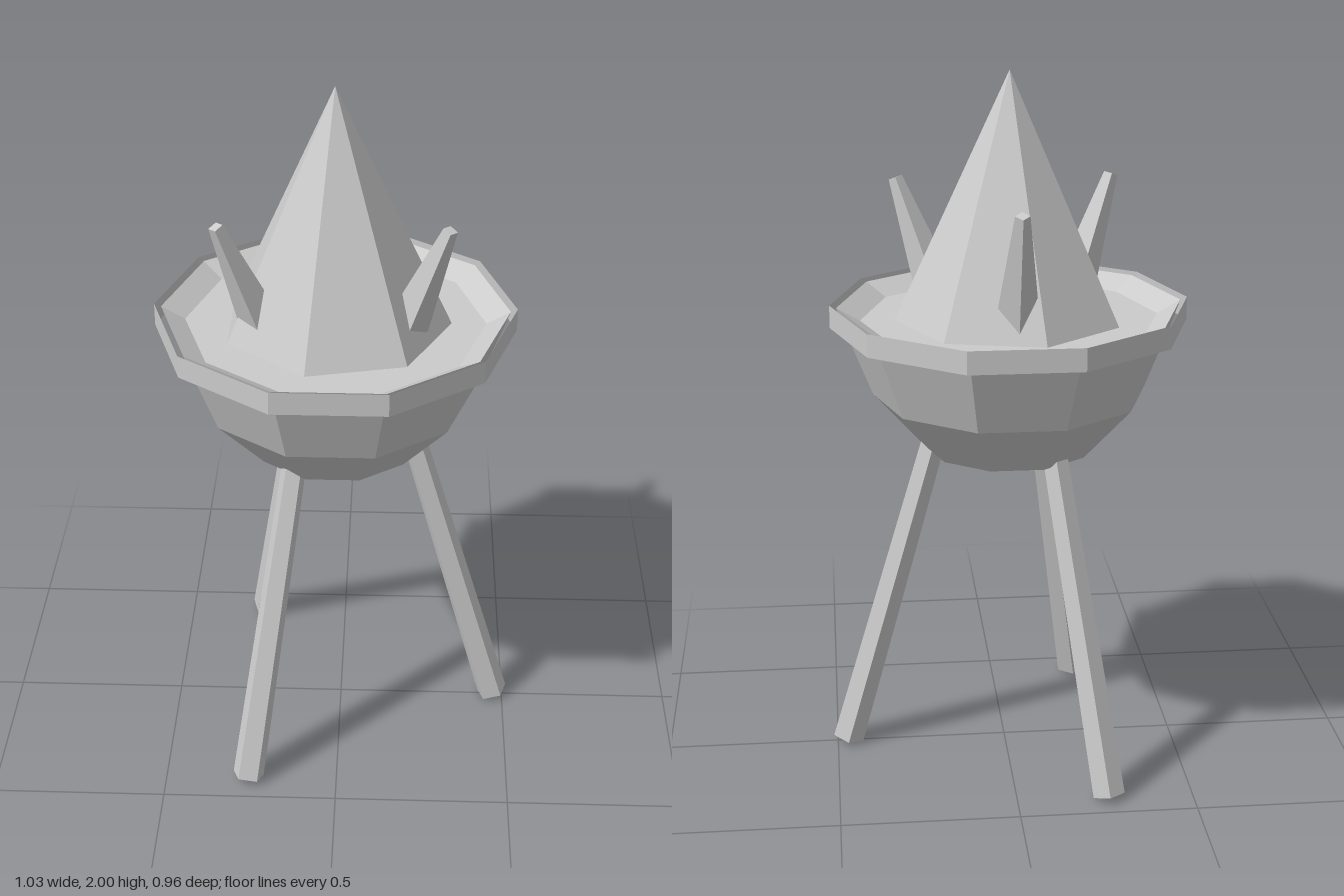
import * as THREE from 'three';

const material = new THREE.MeshStandardMaterial({ color: 0xcccccc, flatShading: true });
const openMaterial = new THREE.MeshStandardMaterial({ color: 0xcccccc, flatShading: true, side: THREE.DoubleSide });
const UP = new THREE.Vector3(0, 1, 0);

function part(name, geometry, mat = material) {
  const mesh = new THREE.Mesh(geometry, mat);
  mesh.name = name;
  return mesh;
}

// Point at a radius, height and angle (0 = +x, 90 = +z)
function polar(radius, y, degrees) {
  const a = THREE.MathUtils.degToRad(degrees);
  return new THREE.Vector3(radius * Math.cos(a), y, radius * Math.sin(a));
}

// Tapered bar between two points
function bar(name, bottom, top, rBottom, rTop, sides, thetaStart) {
  const axis = top.clone().sub(bottom);
  const geometry = new THREE.CylinderGeometry(rTop, rBottom, axis.length(), sides, 1, false, thetaStart);
  const mesh = part(name, geometry);
  mesh.position.copy(bottom).add(top).multiplyScalar(0.5);
  mesh.quaternion.setFromUnitVectors(UP, axis.normalize());
  return mesh;
}

export function createModel() {
  const model = new THREE.Group();
  model.name = 'brazier';

  // Ten-sided bowl with a shallow lip and a flat bed
  const profile = [
    [0, 0.93], [0.243, 0.93], [0.388, 1.09], [0.467, 1.29],
    [0.486, 1.345], [0.42, 1.307], [0, 1.307],
  ].map(([r, y]) => new THREE.Vector2(r, y));
  model.add(part('bowl', new THREE.LatheGeometry(profile, 10, Math.PI / 2)));

  // Open band around the lip
  const rim = part('rim', new THREE.CylinderGeometry(0.505, 0.505, 0.065, 10, 1, true, Math.PI / 2), openMaterial);
  rim.position.y = 1.32;
  model.add(rim);

  // Large central flame
  const flame = part('centralFlame', new THREE.ConeGeometry(0.324, 0.695, 7, 1, false, Math.PI / 2));
  flame.position.y = 1.6525;
  model.add(flame);

  // Three splayed legs and three small flames between them
  for (let i = 0; i < 3; i++) {
    const angle = i * 120;
    model.add(bar('leg', polar(0.485, 0.014, angle), polar(0.217, 0.955, angle), 0.047, 0.036, 5, Math.PI));
    model.add(bar('smallFlame', polar(0.23, 1.36, angle + 30), polar(0.355, 1.675, angle + 30), 0.06, 0.02, 4, 0));
  }

  model.position.x = -0.016;
  return model;
}
